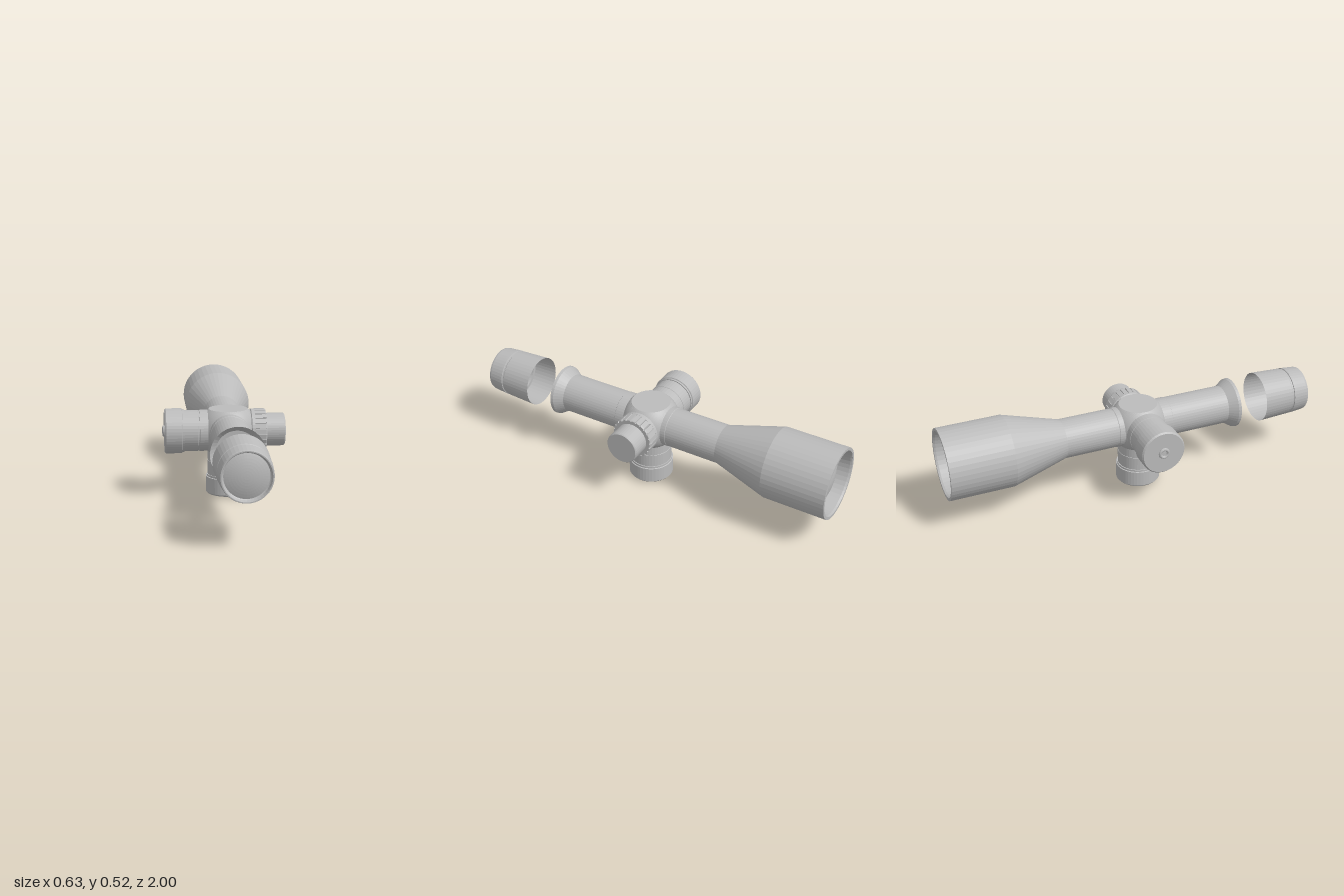
import * as THREE from 'three';

const CX = 0.0235, CY = 0.34, CZ = 0.042; // optical axis and turret centre
const SEG = 44;

export function createModel() {
  const model = new THREE.Group();
  const grey = new THREE.MeshStandardMaterial({ color: 0xbbbbbb, side: THREE.DoubleSide, flatShading: true });
  grey.name = 'metal grey';

  const add = (name, geo, x, y, z, parent = model) => {
    const mesh = new THREE.Mesh(geo, grey);
    mesh.name = name;
    mesh.position.set(x, y, z);
    parent.add(mesh);
    return mesh;
  };

  // Turned part from [position along axis, radius] pairs
  const turned = (name, axis, pairs) => {
    const geo = new THREE.LatheGeometry(pairs.map(([a, r]) => new THREE.Vector2(r, a)), SEG);
    if (axis === 'z') geo.rotateX(Math.PI / 2);
    if (axis === 'x') geo.rotateZ(-Math.PI / 2);
    return add(name, geo, axis === 'x' ? 0 : CX, axis === 'y' ? 0 : CY, axis === 'z' ? 0 : CZ);
  };

  // Domed glass profile: rim at z, bulging by h
  const dome = (z, r, h) => Array.from({ length: 9 }, (_, i) => {
    const t = i / 8;
    return [z + h * (1 - t * t), r * t];
  });

  // Main tube with bell-shaped objective and flared open end
  turned('mainTube', 'z', [
    [-0.93, 0.146], [-0.93, 0.158], [-0.99, 0.164], [-1, 0.168], [-1, 0.183],
    [-0.67, 0.183], [-0.38, 0.101], [0.525, 0.101], [0.57, 0.13], [0.585, 0.132],
  ]);
  turned('objectiveLens', 'z', dome(-0.925, 0.15, -0.04));
  turned('frontCollar', 'z', [[0.13, 0.101], [0.13, 0.103], [0.2, 0.103], [0.202, 0.101]]);
  turned('rearCollar', 'z', [[-0.097, 0.101], [-0.095, 0.103], [-0.05, 0.103]]);

  // Separate eyepiece, open towards the tube
  turned('eyepiece', 'z', [
    [0.737, 0.132], [0.9, 0.125], [0.904, 0.121], [0.912, 0.121], [0.914, 0.125],
    [0.93, 0.124], [0.99, 0.119], [1, 0.116], [1, 0.111], [0.98, 0.107], [0.975, 0.1],
  ]);
  turned('eyepieceInnerRing', 'z', [[0.87, 0.125], [0.87, 0.108], [0.885, 0.108], [0.885, 0.1]]);
  turned('eyepieceLens', 'z', dome(0.975, 0.107, 0.02));

  // Turret housing: a cube rounded by a sphere, leaving a flat disc on every side
  const H = 0.113, DISC = 0.1, R = Math.hypot(H, DISC);
  const housing = new THREE.BoxGeometry(2, 2, 2, 20, 20, 20);
  const p = housing.attributes.position, n = housing.attributes.normal;
  const v = new THREE.Vector3(), face = new THREE.Vector3(), flat = new THREE.Vector3(), edge = new THREE.Vector3();
  for (let i = 0; i < p.count; i++) {
    face.fromBufferAttribute(n, i);
    v.fromBufferAttribute(p, i).sub(face);
    const m = Math.max(Math.abs(v.x), Math.abs(v.y), Math.abs(v.z));
    flat.copy(v).normalize().multiplyScalar(DISC * Math.min(1, m / 0.6)).addScaledVector(face, H);
    if (m > 0.6) {
      edge.copy(v).divideScalar(m).add(face).setLength(R);
      flat.lerp(edge, (m - 0.6) / 0.4).setLength(R);
    }
    p.setXYZ(i, flat.x, flat.y, flat.z);
  }
  housing.computeVertexNormals();
  add('turretHousing', housing, CX, CY, CZ);

  // Side and bottom adjustment turrets share one profile, measured outwards from the centre
  const turret = [
    [0.06, 0.1], [0.108, 0.106], [0.15, 0.106], [0.151, 0.104], [0.157, 0.104], [0.158, 0.106],
    [0.228, 0.106], [0.228, 0.111], [0.238, 0.111], [0.24, 0.116], [0.321, 0.116], [0.329, 0.109], [0.329, 0],
  ];
  turned('sideTurret', 'x', turret.map(([a, r]) => [CX - a, r]));
  turned('bottomTurret', 'y', turret.map(([a, r]) => [CY - a, r]));

  // Small coin screws on the turret ends
  const screw = (name, x, y, z, turn) => {
    const g = new THREE.Group();
    g.name = name;
    g.position.set(x, y, z);
    g.rotation.z = turn;
    model.add(g);
    add('screwRim', new THREE.TorusGeometry(0.022, 0.008, 8, 24).rotateX(Math.PI / 2), 0, 0.002, 0, g);
    add('screwBar', new THREE.BoxGeometry(0.04, 0.008, 0.009).rotateY(0.7), 0, 0.002, 0, g);
  };
  screw('sideScrew', -0.306, CY, CZ, Math.PI / 2);
  screw('bottomScrew', CX, 0.01, CZ, Math.PI);

  // Ribbed focus ring: broad ribs with narrow shallow grooves
  const ring = new THREE.Shape();
  const TEETH = 24;
  for (let i = 0; i < TEETH; i++) {
    [[0, 0.101], [0.25, 0.101], [0.3, 0.106], [0.95, 0.106]].forEach(([t, r], k) => {
      const a = (i + t) / TEETH * Math.PI * 2;
      ring[i + k ? 'lineTo' : 'moveTo'](r * Math.cos(a), r * Math.sin(a));
    });
  }
  ring.closePath();
  const ribs = new THREE.ExtrudeGeometry(ring, {
    depth: 0.056, bevelEnabled: true, bevelThickness: 0.006, bevelSize: 0.003, bevelSegments: 1,
  });
  add('focusRing', ribs.rotateY(Math.PI / 2), 0.153, CY, CZ);
  turned('focusRingBase', 'x', [[0.1, 0.1], [0.136, 0.104], [0.14, 0.109], [0.156, 0.109], [0.158, 0.1]]);

  // Plain focus cap
  turned('focusCap', 'x', [[0.2, 0.085], [0.308, 0.085], [0.313, 0.081], [0.313, 0]]);

  return model;
}
